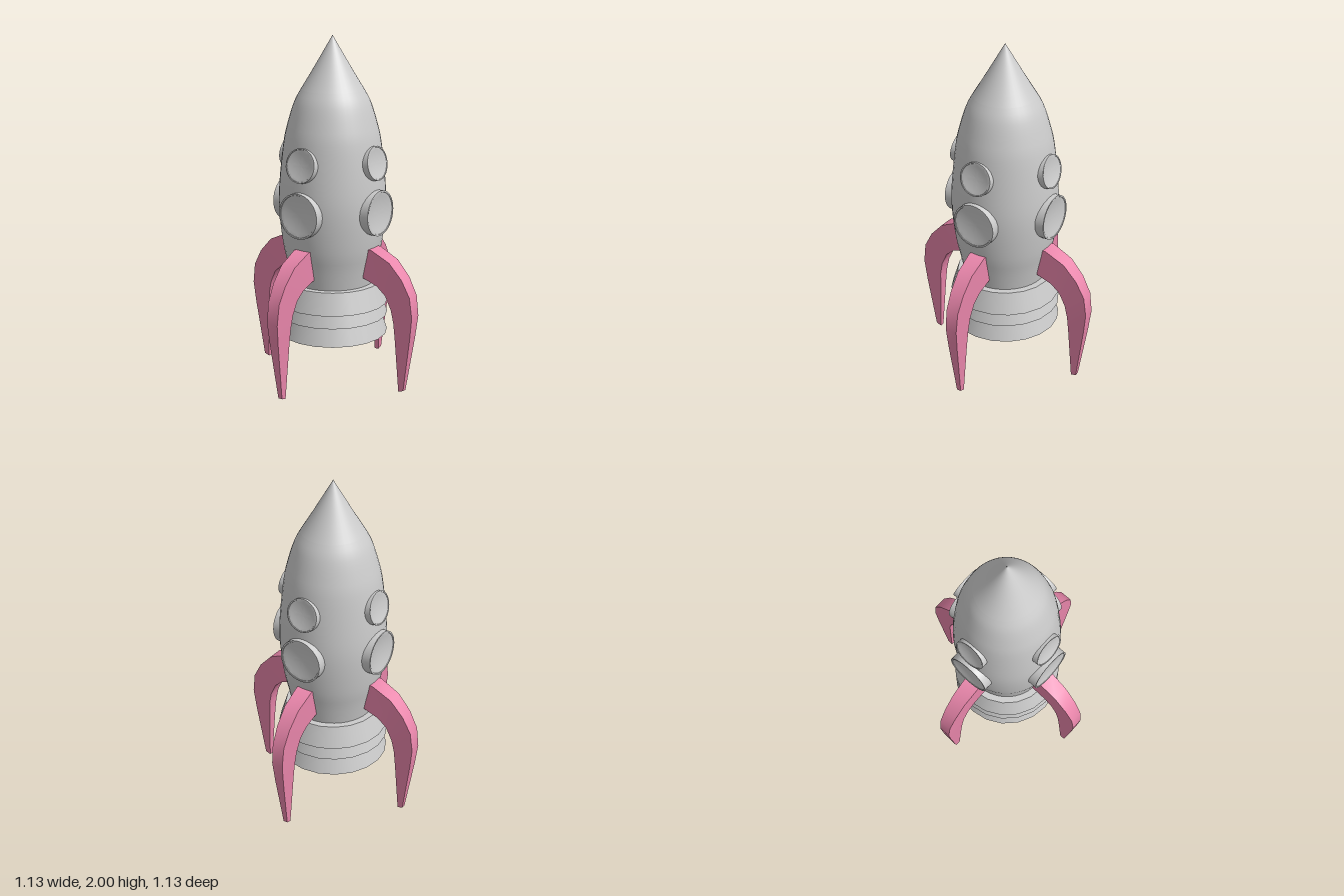
import * as THREE from 'three';
import { toCreasedNormals, mergeVertices } from 'three/addons/utils/BufferGeometryUtils.js';

const grey = new THREE.MeshStandardMaterial({ color: 0xcccccc });
const pink = new THREE.MeshStandardMaterial({ color: 0xe986ab });
const vectors = (list) => list.map(([x, y]) => new THREE.Vector2(x, y));

function addMesh(parent, name, geometry, material) {
  const mesh = new THREE.Mesh(geometry, material);
  mesh.name = name;
  parent.add(mesh);
  return mesh;
}

// Round window: a drum with a narrow rim and a shallow dish, facing +z
function portholeGeometry(radius) {
  const profile = vectors([[radius, -0.06], [radius, 0], [radius * 0.93, 0]]);
  for (let i = 0; i <= 6; i++) {
    const t = 0.92 * (1 - i / 6);
    profile.push(new THREE.Vector2(radius * t, -0.13 * radius * (1 - t * t)));
  }
  const geometry = new THREE.LatheGeometry(profile, 32);
  geometry.rotateX(Math.PI / 2);
  return toCreasedNormals(geometry, 0.5);
}

// Curved leg reaching along +z: rectangular sections joined in a loop
function legGeometry() {
  // outer radius, outer y, inner radius, inner y, half width
  const sections = [
    [0.20, 0.825, 0.20, 0.655, 0.05],
    [0.30, 0.822, 0.255, 0.647, 0.05],
    [0.42, 0.766, 0.34, 0.615, 0.046],
    [0.50, 0.68, 0.393, 0.568, 0.042],
    [0.552, 0.584, 0.43, 0.49, 0.038],
    [0.567, 0.467, 0.446, 0.414, 0.035],
    [0.552, 0.335, 0.453, 0.32, 0.029],
    [0.504, 0.01, 0.472, 0, 0.013],
  ];
  const positions = [];
  const index = [];
  sections.forEach(([ro, yo, ri, yi, w], s) => {
    positions.push(-w, yo, ro, w, yo, ro, w, yi, ri, -w, yi, ri);
    if (s === 0) return;
    for (let k = 0; k < 4; k++) {
      const a = (s - 1) * 4 + k;
      const b = (s - 1) * 4 + ((k + 1) % 4);
      index.push(a, a + 4, b, b, a + 4, b + 4);
    }
  });
  const e = (sections.length - 1) * 4;
  index.push(0, 1, 2, 0, 2, 3, e, e + 2, e + 1, e, e + 3, e + 2);
  const geometry = new THREE.BufferGeometry();
  geometry.setAttribute('position', new THREE.Float32BufferAttribute(positions, 3));
  geometry.setIndex(index);
  return toCreasedNormals(mergeVertices(geometry), 0.5);
}

export function createModel() {
  const rocket = new THREE.Group();
  rocket.name = 'rocket';

  // Hull and nose
  const hullCurve = new THREE.SplineCurve(vectors([
    [0.235, 0.56], [0.262, 0.7], [0.287, 0.82], [0.305, 1.0], [0.303, 1.16],
    [0.277, 1.4], [0.25, 1.52], [0.215, 1.63], [0.178, 1.7],
  ]));
  addMesh(rocket, 'hull', new THREE.LatheGeometry(hullCurve.getPoints(28), 40), grey);
  const noseCurve = new THREE.SplineCurve(vectors([
    [0.178, 1.7], [0.117, 1.8], [0.056, 1.904], [0, 2],
  ]));
  addMesh(rocket, 'nose', new THREE.LatheGeometry(noseCurve.getPoints(10), 40), grey);

  // Stacked flared skirts of the engine
  const skirt = new THREE.CylinderGeometry(0.28, 0.32, 0.125, 20);
  [0.3425, 0.4525, 0.5275].forEach((y, i) => {
    addMesh(rocket, `engineSkirt${i + 1}`, skirt, grey).position.y = y;
  });

  // Two portholes and one leg on each of the four sides
  const large = portholeGeometry(0.13);
  const small = portholeGeometry(0.097);
  const leg = legGeometry();
  ['front', 'left', 'back', 'right'].forEach((side, i) => {
    const group = new THREE.Group();
    group.name = `${side}Side`;
    group.rotation.y = (i * Math.PI) / 2;
    addMesh(group, `${side}LargePorthole`, large, grey).position.set(0, 1.03, 0.33);
    const upper = addMesh(group, `${side}SmallPorthole`, small, grey);
    upper.position.set(0, 1.313, 0.307);
    upper.rotation.x = -0.175;
    addMesh(group, `${side}Leg`, leg, pink);
    rocket.add(group);
  });

  return rocket;
}
